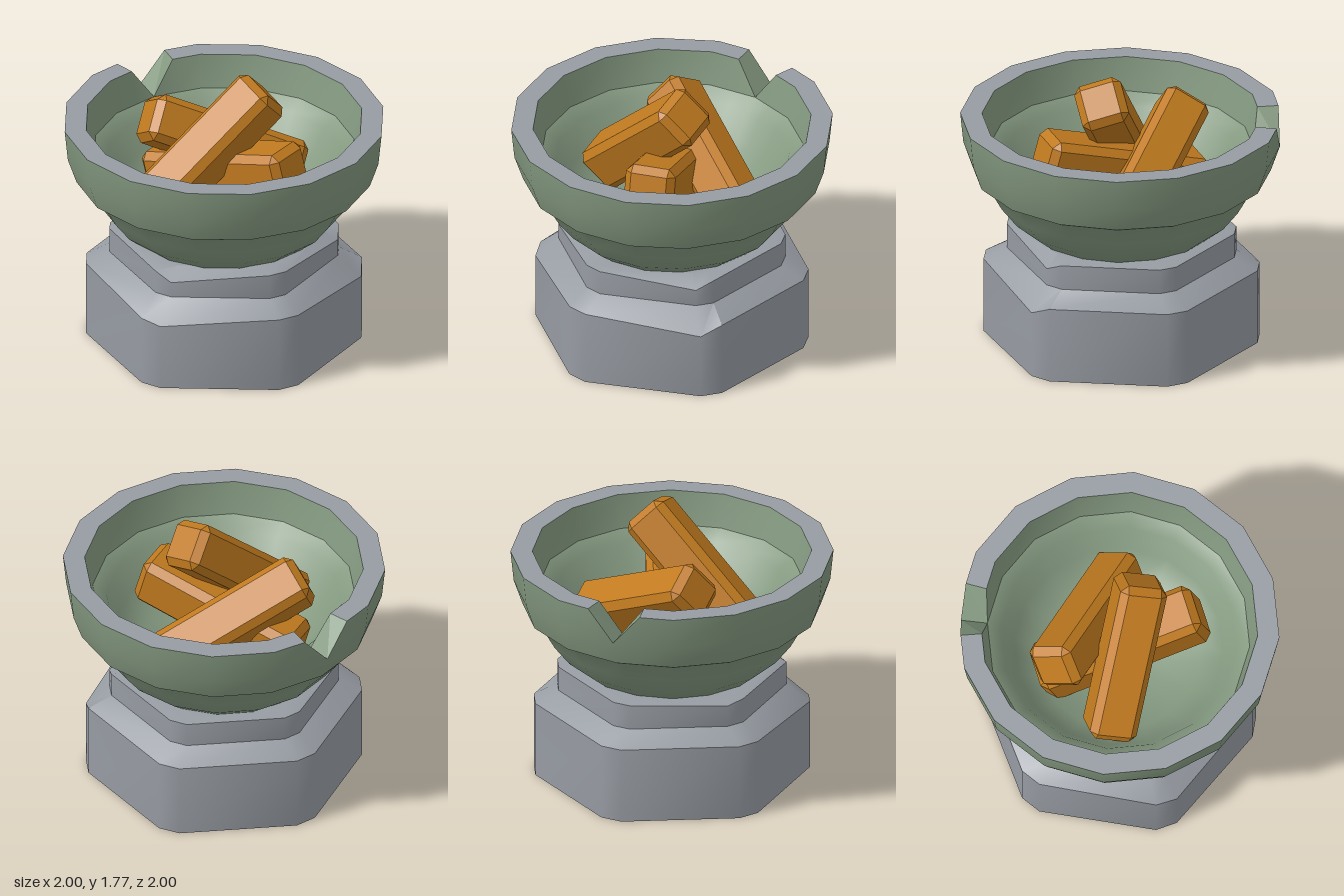
import * as THREE from 'three';
import { toCreasedNormals } from 'three/addons/utils/BufferGeometryUtils.js';
import { ConvexGeometry } from 'three/addons/geometries/ConvexGeometry.js';

const RAD = Math.PI / 180;

function material(name, color, side = THREE.FrontSide) {
  const m = new THREE.MeshStandardMaterial({ color, side });
  m.name = name;
  return m;
}

// Surface through rows of points; columns run counter-clockwise seen from below.
function sheet(rows, crease = 0.6) {
  const n = rows[0].length;
  const index = [];
  for (let r = 0; r < rows.length - 1; r++) {
    for (let c = 0; c < n - 1; c++) {
      const a = r * n + c, up = a + n;
      index.push(a, up, a + 1, a + 1, up, up + 1);
    }
  }
  const geo = new THREE.BufferGeometry();
  geo.setAttribute('position', new THREE.Float32BufferAttribute(rows.flat(2), 3));
  geo.setIndex(index);
  return toCreasedNormals(geo, crease);
}

function addMesh(parent, name, geo, mat) {
  const mesh = new THREE.Mesh(geo, mat);
  mesh.name = name;
  parent.add(mesh);
  return mesh;
}

// Hollow hexagonal pedestal with blunted corners and a few worn, lower corners
function makePedestal(stone) {
  const shoulder = [0.45, 0.43, 0.49, 0.49, 0.43, 0.49, 0.49, 0.49, 0.49, 0.49, 0.49, 0.49];
  const neck = [0.72, 0.67, 0.73, 0.73, 0.68, 0.73, 0.73, 0.73, 0.73, 0.73, 0.71, 0.73];
  const levels = [
    [0.855, () => 0], [0.855, (i) => shoulder[i]], [0.71, () => 0.57],
    [0.71, (i) => neck[i]], [0.61, () => 0.745], [0.5, () => 0.745],
  ];
  const rows = levels.map(([r, y]) => {
    const row = [];
    for (let k = 12; k >= 0; k--) {
      const i = k % 12;
      const t = (3.3 + 60 * Math.floor(i / 2) + (i % 2 ? 4.6 : -4.6)) * RAD;
      row.push([r * Math.sin(t), y(i), r * Math.cos(t)]);
    }
    return row;
  });
  const g = new THREE.Group();
  g.name = 'pedestal';
  addMesh(g, 'pedestalShell', sheet(rows), stone);
  return g;
}

// Sixteen-sided bowl with a V notch broken out of its rim
function makeBowl(green, stone) {
  const notch = 202.5, half = 10.1;
  const angles = [notch, notch + half];
  for (let k = 1; k < 16; k++) angles.push(notch + 22.5 * k);
  angles.push(notch + 360 - half, notch + 360);

  // Points of one ring, kept on the sides of the sixteen-sided polygon
  const ring = ([r, y], notchPoint) => angles.map((t, i) => {
    const atNotch = i === 0 || i === angles.length - 1;
    const [rr, yy] = notchPoint && atNotch ? notchPoint : [r, y];
    const f = Math.cos(11.25 * RAD) / Math.cos(((t % 22.5) - 11.25) * RAD);
    return [rr * f * Math.cos(t * RAD), yy, rr * f * Math.sin(t * RAD)];
  });

  const outer = [[0, 0.66], [0.45, 0.675], [0.58, 0.74], [0.69, 0.83], [0.79, 0.96],
    [0.86, 1.085], [0.925, 1.12], [0.98, 1.28]];
  const inner = [[0.815, 1.27], [0.73, 1.21], [0.65, 1.05], [0.5, 0.92], [0.28, 0.84], [0, 0.81]];
  const outerTop = ring([1, 1.48], outer[outer.length - 1]);
  const innerTop = ring([0.865, 1.48], inner[0]);
  const last = angles.length - 1;
  const part = (a, b) => sheet([outerTop.slice(a, b + 1), innerTop.slice(a, b + 1)], 0.1);

  const g = new THREE.Group();
  g.name = 'bowl';
  addMesh(g, 'bowlOutside', sheet([...outer.map((p) => ring(p)), outerTop]), green);
  addMesh(g, 'bowlInside', sheet([innerTop, ...inner.map((p) => ring(p))]), green);
  addMesh(g, 'rim', part(1, last - 1), stone);
  addMesh(g, 'notchBackFace', part(0, 1), green);
  addMesh(g, 'notchFrontFace', part(last - 1, last), green);
  return g;
}

// Square log with chamfered edges, running from one end centre to the other
function makeLog(name, from, to, upHint, wood, size = 0.3, c = 0.045) {
  const a = new THREE.Vector3(...from), b = new THREE.Vector3(...to);
  const h = size / 2, l = a.distanceTo(b) / 2;
  const points = [];
  for (const x of [-1, 1]) for (const y of [-1, 1]) for (const z of [-1, 1]) {
    points.push(
      new THREE.Vector3(x * h, y * (h - c), z * (l - c)),
      new THREE.Vector3(x * (h - c), y * h, z * (l - c)),
      new THREE.Vector3(x * (h - c), y * (h - c), z * l),
    );
  }
  const zAxis = b.clone().sub(a).normalize();
  const xAxis = new THREE.Vector3(...upHint).cross(zAxis).normalize();
  const yAxis = zAxis.clone().cross(xAxis);
  const mesh = new THREE.Mesh(new ConvexGeometry(points), wood);
  mesh.name = name;
  mesh.quaternion.setFromRotationMatrix(new THREE.Matrix4().makeBasis(xAxis, yAxis, zAxis));
  mesh.position.copy(a).add(b).multiplyScalar(0.5);
  return mesh;
}

export function createModel() {
  const stone = material('grey stone', 0x979ca3, THREE.DoubleSide);
  const green = material('green glaze', 0x849980);
  const wood = material('orange wood', 0xc07a1f);

  const model = new THREE.Group();
  model.name = 'fireBowl';
  model.add(makePedestal(stone), makeBowl(green, stone));

  // Three logs piled in the bowl
  const logs = new THREE.Group();
  logs.name = 'logs';
  logs.add(
    makeLog('bottomLog', [-0.51, 0.98, 0], [0.53, 1.27, 0], [0, 1, 0], wood, 0.32),
    makeLog('backLog', [0.195, 0.98, -0.515], [-0.475, 1.42, 0.155], [-0.144, 0.749, -0.635], wood),
    makeLog('frontLog', [-0.22, 0.98, 0.5], [0.2, 1.67, -0.16], [0, 0.7, 0.7], wood),
  );
  model.add(logs);
  return model;
}
